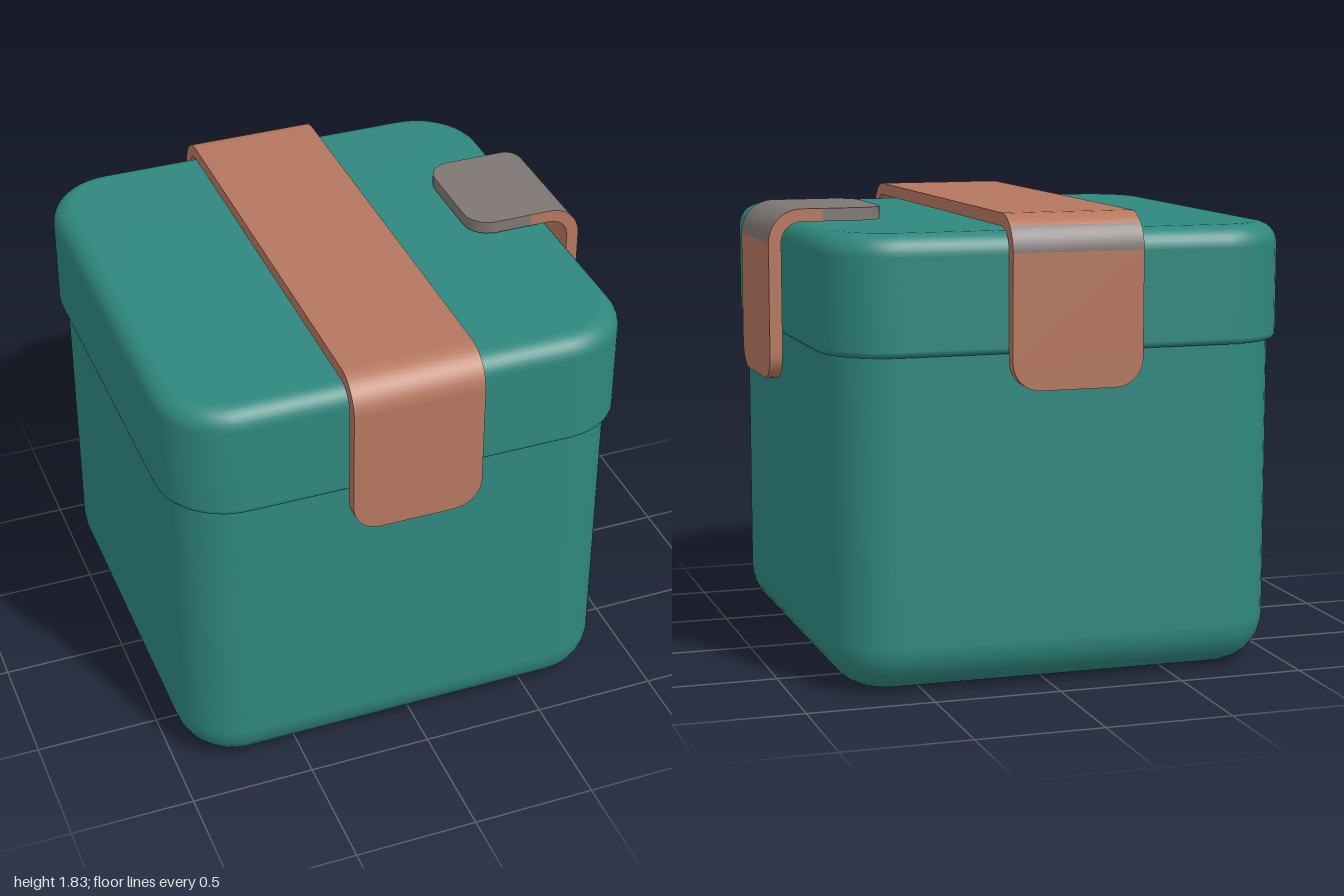
import * as THREE from 'three';

const teal = new THREE.MeshStandardMaterial({ color: 0x2f877e });
teal.name = 'teal';
const copper = new THREE.MeshStandardMaterial({ color: 0xb5775f });
copper.name = 'copper';
const grey = new THREE.MeshStandardMaterial({ color: 0x7f7673 });
grey.name = 'warmGrey';

// Outline of a rounded square, walked from +x towards -z
function roundedRing(half, radius, steps = 10) {
  const ring = [], c = half - radius;
  for (let q = 0; q < 4; q++) {
    const sx = q === 0 || q === 3 ? 1 : -1, sz = q < 2 ? -1 : 1;
    for (let k = 0; k <= steps; k++) {
      const a = (q + k / steps) * Math.PI / 2;
      ring.push([sx * c + Math.cos(a) * radius, sz * c - Math.sin(a) * radius]);
    }
  }
  return ring;
}

// Rounded square block with its own edge radius at the bottom and the top
function softBlock(half, corner, y0, y1, bottomR, topR) {
  const profile = [], N = 8;
  for (let k = 0; k <= N; k++) {
    const a = k / N * Math.PI / 2;
    profile.push([y0 + bottomR * (1 - Math.cos(a)), bottomR * (1 - Math.sin(a))]);
  }
  for (let k = 0; k <= N; k++) {
    const a = k / N * Math.PI / 2;
    profile.push([y1 - topR * (1 - Math.sin(a)), topR * (1 - Math.cos(a))]);
  }
  const pos = [], idx = [];
  let n = 0;
  for (const [y, inset] of profile) {
    const ring = roundedRing(half - inset, corner - inset);
    n = ring.length;
    for (const [x, z] of ring) pos.push(x, y, z);
  }
  const last = (profile.length - 1) * n;
  const bottom = pos.length / 3, top = bottom + 1;
  pos.push(0, y0, 0, 0, y1, 0);
  for (let j = 0; j < n; j++) {
    const m = (j + 1) % n;
    for (let i = 0; i < last; i += n) {
      idx.push(i + j, i + m, i + n + j, i + m, i + n + m, i + n + j);
    }
    idx.push(bottom, m, j, top, last + j, last + m);
  }
  const g = new THREE.BufferGeometry();
  g.setAttribute('position', new THREE.Float32BufferAttribute(pos, 3));
  g.setIndex(idx);
  g.computeVertexNormals();
  return g;
}

// Path along the outer face: straight runs [length] and clockwise quarter bends [radius, 'bend']
function bentPath(u, y, heading, runs, endR) {
  const path = [{ u, y, h: heading, s: 0 }];
  let s = 0;
  runs.forEach(([size, bend], r) => {
    if (bend) {
      const cu = u + Math.sin(heading) * size, cy = y - Math.cos(heading) * size;
      for (let k = 1; k <= 12; k++) {
        const h = heading - k / 12 * Math.PI / 2;
        u = cu - Math.sin(h) * size;
        y = cy + Math.cos(h) * size;
        path.push({ u, y, h, s: s + size * k / 12 * Math.PI / 2 });
      }
      heading -= Math.PI / 2;
      s += size * Math.PI / 2;
      return;
    }
    // Extra stations follow the rounded ends
    const stops = [size];
    for (let k = 1; k <= 8; k++) {
      const d = endR * (1 - Math.cos(k / 8 * Math.PI / 2));
      if (r === 0) stops.push(d);
      if (r === runs.length - 1) stops.push(size - d);
    }
    stops.sort((a, b) => a - b);
    for (const d of stops) {
      path.push({ u: u + Math.cos(heading) * d, y: y + Math.sin(heading) * d, h: heading, s: s + d });
    }
    u += Math.cos(heading) * size;
    y += Math.sin(heading) * size;
    s += size;
  });
  return path;
}

// Flat band swept along the path; isGrey(point, face) picks the colour, face 0 being the outer one
function band(path, halfWidth, thickness, endR, isGrey) {
  const total = path[path.length - 1].s;
  const sections = path.map(({ u, y, h, s }) => {
    const d = Math.max(0, endR - Math.min(s, total - s));
    const w = halfWidth - endR + Math.sqrt(Math.max(0, endR * endR - d * d));
    const iu = u + Math.sin(h) * thickness, iy = y - Math.cos(h) * thickness;
    return [[u, y, w], [u, y, -w], [iu, iy, -w], [iu, iy, w]];
  });
  const pos = [], tris = [[], []];
  for (let f = 0; f < 4; f++) {
    const base = pos.length / 3;
    for (const c of sections) pos.push(...c[f], ...c[(f + 1) % 4]);
    for (let i = 0; i < path.length - 1; i++) {
      const a = base + i * 2;
      const mid = { u: (path[i].u + path[i + 1].u) / 2, y: (path[i].y + path[i + 1].y) / 2 };
      tris[isGrey(mid, f) ? 1 : 0].push(a, a + 2, a + 1, a + 1, a + 2, a + 3);
    }
  }
  [0, sections.length - 1].forEach((i, end) => {
    const b = pos.length / 3;
    for (const c of sections[i]) pos.push(...c);
    const t = end ? [b, b + 2, b + 1, b, b + 3, b + 2] : [b, b + 1, b + 2, b, b + 2, b + 3];
    tris[isGrey(path[i], 4) ? 1 : 0].push(...t);
  });
  const g = new THREE.BufferGeometry();
  g.setAttribute('position', new THREE.Float32BufferAttribute(pos, 3));
  g.setIndex([...tris[0], ...tris[1]]);
  g.addGroup(0, tris[0].length, 0);
  g.addGroup(tris[0].length, tris[1].length, 1);
  g.computeVertexNormals();
  return g;
}

export function createModel() {
  const model = new THREE.Group();
  const add = (name, geometry, material, x, z) => {
    const mesh = new THREE.Mesh(geometry, material);
    mesh.name = name;
    mesh.position.set(x, 0, z);
    model.add(mesh);
    return mesh;
  };

  // Container and its overhanging lid
  add('body', softBlock(0.902, 0.25, 0, 1.33, 0.19, 0.01), teal, -0.055, -0.013);
  add('lid', softBlock(0.934, 0.28, 1.305, 1.765, 0.025, 0.085), teal, -0.055, -0.013);

  // Strap over the lid, with a grey patch on the back bend
  const strapPath = bentPath(-1, 1.17, Math.PI / 2,
    [[0.52], [0.14, 'bend'], [1.72], [0.14, 'bend'], [0.52]], 0.11);
  const strap = add('strap',
    band(strapPath, 0.26, 0.05, 0.11, (p, f) => f === 0 && p.u < -0.96 && p.y > 1.69),
    [copper, grey], -0.065, 0);
  strap.rotation.y = -Math.PI / 2;

  // Side clip with a grey top plate
  const clipPath = bentPath(0.52, 1.825, 0,
    [[0.25], [0.085], [0.13, 'bend'], [0.535]], 0.1);
  add('sideClip',
    band(clipPath, 0.2525, 0.05, 0.1, (p, f) => (f === 0 ? p.y > 1.695 : p.u < 0.77)),
    [copper, grey], 0, -0.1375);

  return model;
}
